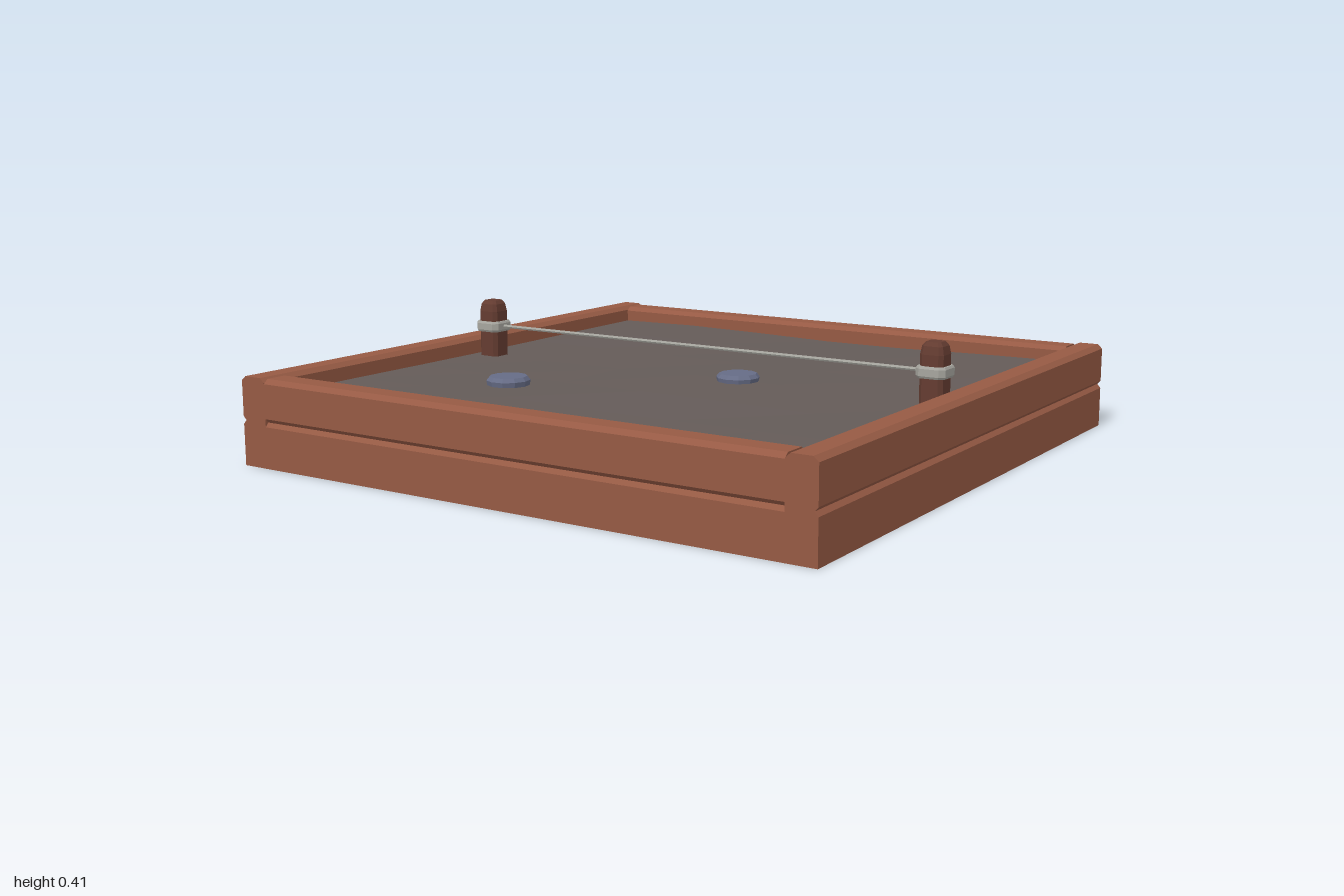
import * as THREE from 'three';

const mat = (name, color) => new THREE.MeshStandardMaterial({ name, color });

// Separate the faces so every facet is flat
function flat(geo) {
  const g = geo.index ? geo.toNonIndexed() : geo;
  g.computeVertexNormals();
  return g;
}

// Chamfered-square column lofted through [y, halfWidth, cornerCut] sections
function column(sections) {
  const pos = [], idx = [];
  for (const [y, h, c] of sections) {
    const k = h - c;
    for (const [x, z] of [[h, -k], [h, k], [k, h], [-k, h], [-h, k], [-h, -k], [-k, -h], [k, -h]]) pos.push(x, y, z);
  }
  const last = (sections.length - 1) * 8;
  for (let s = 0; s < last; s += 8) {
    for (let i = 0; i < 8; i++) {
      const a = s + i, b = s + (i + 1) % 8;
      idx.push(a, a + 8, b, b, a + 8, b + 8);
    }
  }
  for (let i = 1; i < 7; i++) {
    idx.push(0, i, i + 1);
    idx.push(last, last + i + 1, last + i);
  }
  const g = new THREE.BufferGeometry();
  g.setAttribute('position', new THREE.Float32BufferAttribute(pos, 3));
  g.setIndex(idx);
  return flat(g);
}

// Bevelled beam with a V groove along its outer face, for the +x side
function beam(inner, top, length) {
  const shape = new THREE.Shape([
    [inner, 0], [1, 0], [1, 0.13], [0.989, 0.143], [1, 0.155], [1, top - 0.014],
    [0.984, top], [inner + 0.016, top], [inner, top - 0.014],
  ].map(([x, y]) => new THREE.Vector2(x, y)));
  const g = new THREE.ExtrudeGeometry(shape, { depth: length, bevelEnabled: false });
  g.translate(0, 0, -length / 2);
  return flat(g);
}

export function createModel() {
  const group = new THREE.Group();
  const wood = mat('redBrownWood', 0x965a44);
  const darkWood = mat('darkWood', 0x643c31);
  const soil = mat('greyEarth', 0x645b58);
  const rope = mat('paleRope', 0xa6a59e);
  const stone = mat('blueStone', 0x666c86);

  const add = (name, geo, material, x = 0, y = 0, z = 0) => {
    const m = new THREE.Mesh(geo, material);
    m.name = name;
    m.position.set(x, y, z);
    group.add(m);
    return m;
  };

  // Frame: long side beams, shorter front and back beams between them
  const sideGeo = beam(0.905, 0.28, 2);
  const endGeo = beam(0.9, 0.277, 1.81);
  add('leftBeam', sideGeo, wood);
  add('rightBeam', sideGeo, wood).rotation.y = Math.PI;
  add('frontBeam', endGeo, wood).rotation.y = -Math.PI / 2;
  add('backBeam', endGeo, wood).rotation.y = Math.PI / 2;
  add('floor', new THREE.BoxGeometry(1.81, 0.03, 1.8), wood, 0, 0.015, 0);

  // Gently uneven ground inside the frame
  const ground = new THREE.PlaneGeometry(1.82, 1.82, 6, 6).rotateX(-Math.PI / 2);
  const p = ground.attributes.position;
  for (let i = 0; i < p.count; i++) {
    p.setY(i, 0.222 + 0.006 * Math.sin(p.getX(i) * 4.3 + 1) * Math.cos(p.getZ(i) * 3.7));
  }
  add('ground', flat(ground), soil);

  // Posts with bands
  const postGeo = column([[0.18, 0.038, 0.012], [0.375, 0.038, 0.012], [0.4, 0.033, 0.01], [0.412, 0.024, 0.007]]);
  const bandGeo = column([[0.305, 0.044, 0.014], [0.312, 0.048, 0.016], [0.334, 0.048, 0.016], [0.341, 0.044, 0.014]]);
  for (const [side, x] of [['left', 0.84], ['right', -0.84]]) {
    add(side + 'Post', postGeo, darkWood, x);
    add(side + 'PostBand', bandGeo, rope, x);
  }

  // Rope stretched between the posts
  const ropeGeo = new THREE.CylinderGeometry(0.006, 0.006, 1.62, 6).rotateZ(Math.PI / 2);
  add('rope', flat(ropeGeo), rope, 0, 0.323, 0);

  // Flat stepping stones
  const profile = [[0, -0.03], [0.062, -0.03], [0.07, 0.012], [0.06, 0.024], [0, 0.024]]
    .map(([r, y]) => new THREE.Vector2(r, y));
  const stoneGeo = flat(new THREE.LatheGeometry(profile, 11));
  add('centreStone', stoneGeo, stone, 0.16, 0.227, 0);
  add('frontStone', stoneGeo, stone, -0.42, 0.227, 0.435).rotation.y = 0.4;

  return group;
}
